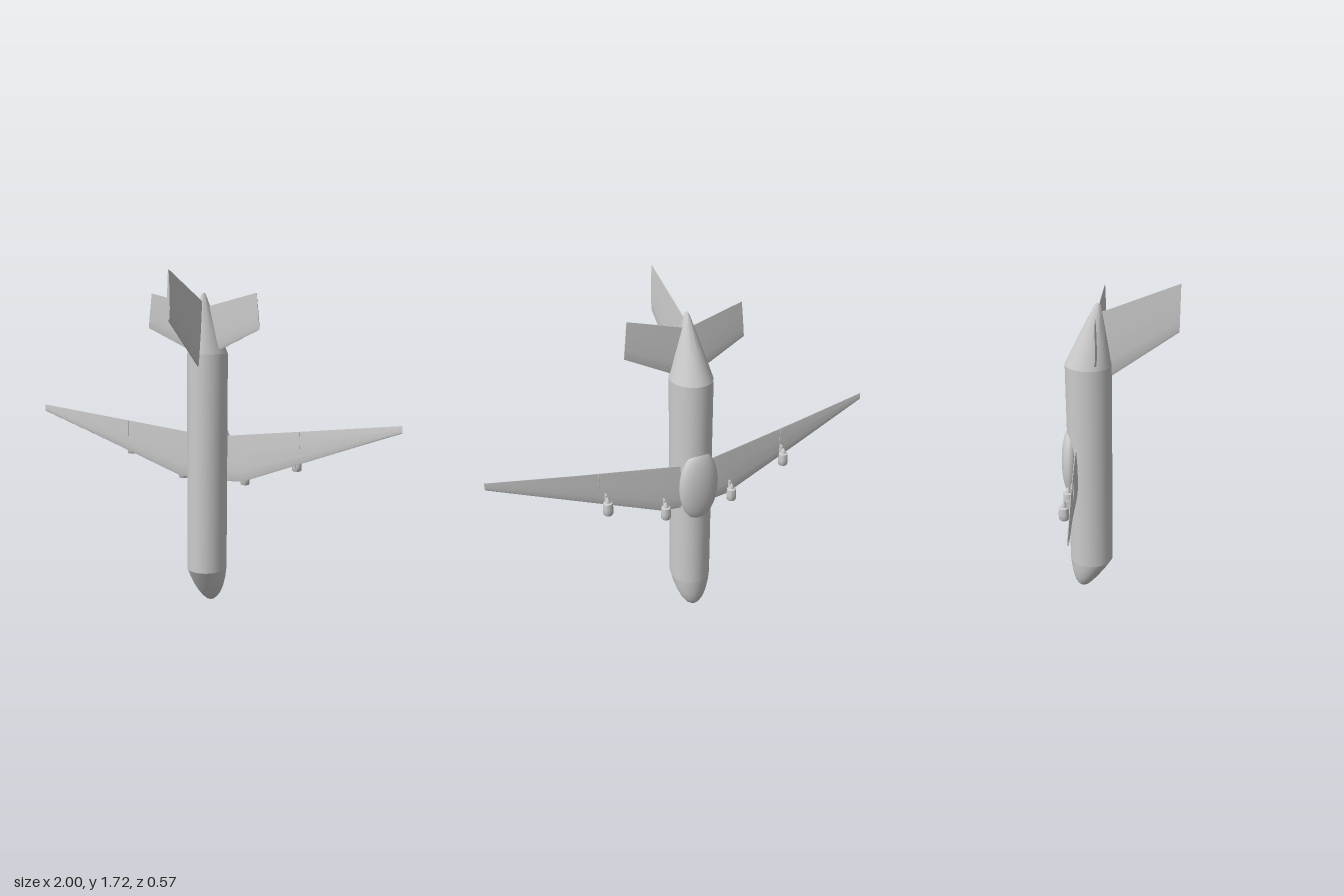
import * as THREE from 'three';
import { toCreasedNormals } from 'three/addons/utils/BufferGeometryUtils.js';

const material = new THREE.MeshStandardMaterial({ color: 0xcccccc });

function addMesh(parent, name, geometry) {
  const mesh = new THREE.Mesh(geometry, material);
  mesh.name = name;
  parent.add(mesh);
  return mesh;
}

// Skin a list of equal-length rings of [x, y, z] and close both ends
function loft(rings, crease = 0.6) {
  const n = rings[0].length, index = [];
  for (let r = 0; r < rings.length - 1; r++) {
    for (let i = 0; i < n; i++) {
      const j = (i + 1) % n, a = r * n, b = a + n;
      index.push(a + i, b + i, a + j, b + i, b + j, a + j);
    }
  }
  const end = (rings.length - 1) * n;
  for (let i = 1; i < n - 1; i++) {
    index.push(0, i, i + 1, end, end + i + 1, end + i);
  }
  const geometry = new THREE.BufferGeometry();
  geometry.setAttribute('position', new THREE.Float32BufferAttribute(rings.flat(2), 3));
  geometry.setIndex(index);
  return toCreasedNormals(geometry, crease);
}

// Elliptical body section: height, half width, back z and belly z
function bodyRing([y, rx, zBack, zBelly]) {
  const ring = [], zc = (zBack + zBelly) / 2, rz = (zBack - zBelly) / 2;
  for (let i = 0; i < 32; i++) {
    const a = (i / 32) * Math.PI * 2;
    ring.push([rx * Math.cos(a), y, zc + rz * Math.sin(a)]);
  }
  return ring;
}

// Thin aerofoil section between a leading and a trailing point
const foil = [[0, 0.3], [0.06, 0.8], [0.25, 1], [0.6, 0.85], [1, 0.25]];
function foilRing({ lead, trail, z, t }) {
  const at = (u, s) => [lead[0] + (trail[0] - lead[0]) * u, lead[1] + (trail[1] - lead[1]) * u, z + s * t];
  return [...foil.map(([u, s]) => at(u, s)), ...foil.slice().reverse().map(([u, s]) => at(u, -s))];
}

// Full span surface from the sections of its +x half
function span(sections) {
  const mirrored = sections.slice().reverse().map((s) => ({
    ...s, lead: [-s.lead[0], s.lead[1]], trail: [-s.trail[0], s.trail[1]],
  }));
  return loft([...mirrored, ...sections].map(foilRing), 0.4);
}

export function createModel() {
  const plane = new THREE.Group();
  plane.name = 'airliner';

  // Fuselage tube, drooped nose and upswept tail cone
  addMesh(plane, 'fuselage', loft([[0.19, 0.102, -0.03, -0.256], [1.32, 0.102, -0.03, -0.256]].map(bodyRing)));
  addMesh(plane, 'nose', loft([
    [0, 0.003, -0.187, -0.193], [0.006, 0.02, -0.172, -0.207], [0.022, 0.039, -0.153, -0.221],
    [0.05, 0.059, -0.128, -0.234], [0.09, 0.077, -0.097, -0.244], [0.14, 0.092, -0.062, -0.251],
    [0.19, 0.101, -0.03, -0.256],
  ].map(bodyRing), 0.9));
  addMesh(plane, 'tailCone', loft([
    [1.32, 0.101, -0.03, -0.255], [1.45, 0.062, -0.051, -0.192],
    [1.56, 0.027, -0.07, -0.136], [1.61, 0.012, -0.079, -0.111], [1.621, 0.006, -0.084, -0.102],
  ].map(bodyRing), 0.9));

  // Belly fairing under the wing root
  const fairing = addMesh(plane, 'bellyFairing', new THREE.SphereGeometry(1, 32, 24));
  fairing.scale.set(0.102, 0.193, 0.05);
  fairing.position.set(0, 0.78, -0.236);

  // Swept main wing with dihedral
  addMesh(plane, 'mainWing', span([
    { lead: [0.06, 0.652], trail: [0.06, 0.89], z: -0.206, t: 0.008 },
    { lead: [0.18, 0.66], trail: [0.18, 0.905], z: -0.198, t: 0.007 },
    { lead: [0.6, 0.822], trail: [0.6, 0.958], z: -0.166, t: 0.005 },
    { lead: [1, 0.975], trail: [1, 1.01], z: -0.13, t: 0.004 },
  ]));

  // Horizontal tail
  addMesh(plane, 'horizontalTail', span([
    { lead: [0.02, 1.308], trail: [0.02, 1.555], z: -0.106, t: 0.009 },
    { lead: [0.305, 1.445], trail: [0.287, 1.62], z: -0.084, t: 0.003 },
  ]));

  // Vertical fin, lofted along x and turned to face +z
  const fin = addMesh(plane, 'fin', loft([
    { lead: [-0.1, 1.21], trail: [-0.1, 1.57], z: 0, t: 0.008 },
    { lead: [0.285, 1.49], trail: [0.285, 1.722], z: 0, t: 0.007 },
  ].map(foilRing), 0.4));
  fin.rotation.y = -Math.PI / 2;

  // Four engines with recessed intakes, tapered nozzles and pylons
  const profile = [[0, 0.014], [0.019, 0.014], [0.021, 0], [0.024, 0.006], [0.025, 0.03],
    [0.022, 0.062], [0.013, 0.066], [0.01, 0.08], [0.003, 0.093], [0, 0.094]];
  const nacelle = toCreasedNormals(
    new THREE.LatheGeometry(profile.map(([x, y]) => new THREE.Vector2(x, y)), 20), 0.6);
  const engines = [
    ['leftInnerEngine', 0.175, 0.637, -0.235, -0.198], ['rightInnerEngine', -0.185, 0.643, -0.235, -0.198],
    ['leftOuterEngine', 0.463, 0.737, -0.215, -0.177], ['rightOuterEngine', -0.49, 0.757, -0.215, -0.175],
  ];
  for (const [name, x, y, z, wingZ] of engines) {
    const engine = new THREE.Group();
    engine.name = name;
    engine.position.set(x, y, z);
    addMesh(engine, 'nacelle', nacelle);
    const pylon = addMesh(engine, 'pylon', new THREE.BoxGeometry(0.006, 0.075, wingZ - z - 0.01));
    pylon.position.set(0, 0.06, (wingZ - z + 0.01) / 2);
    plane.add(engine);
  }

  // Thin fences on the outer wing
  for (const side of [-1, 1]) {
    const fence = addMesh(plane, side > 0 ? 'leftWingFence' : 'rightWingFence', new THREE.BoxGeometry(0.004, 0.08, 0.014));
    fence.position.set(side * 0.488, 0.9, -0.174);
  }
  return plane;
}
